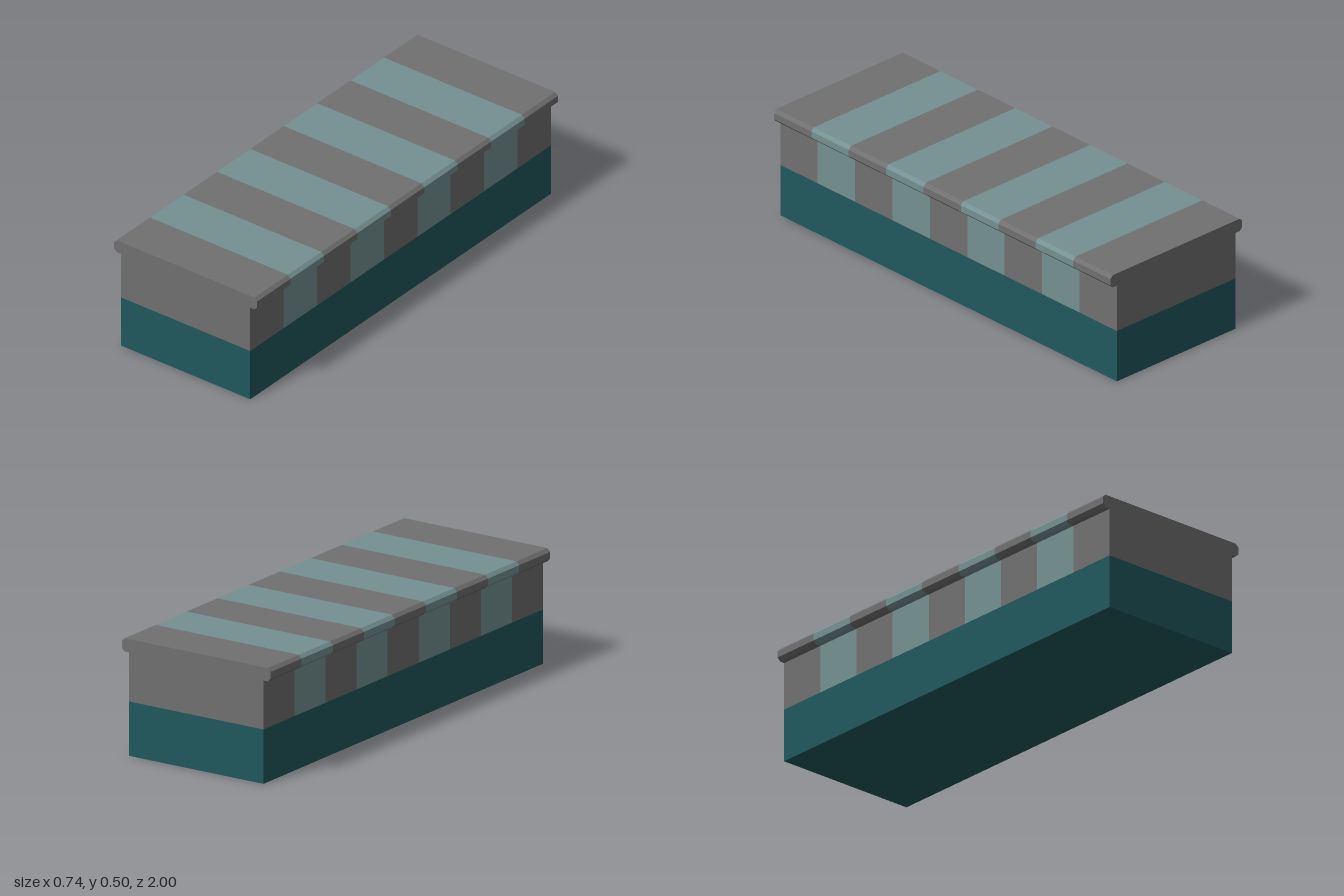
import * as THREE from 'three';

const LENGTH = 2, BANDS = 9, BASE_HEIGHT = 0.233, HALF_WIDTH = 0.335;

// Right half of the cover cross-section, bottom to top, with a chamfered lip
const half = [
  [HALF_WIDTH, BASE_HEIGHT], [HALF_WIDTH, 0.443], [0.357, 0.443],
  [0.371, 0.457], [0.371, 0.486], [0.357, 0.5],
];
const profile = [...half, ...half.slice().reverse().map(([x, y]) => [-x, y])];

// Open band of the cover: the cross-section swept from z0 to z1
function bandGeometry(z0, z1) {
  const positions = [];
  for (let i = 0; i < profile.length - 1; i++) {
    const [p, q] = [profile[i], profile[i + 1]];
    positions.push(...p, z0, ...q, z0, ...q, z1, ...p, z0, ...q, z1, ...p, z1);
  }
  const geometry = new THREE.BufferGeometry();
  geometry.setAttribute('position', new THREE.Float32BufferAttribute(positions, 3));
  geometry.computeVertexNormals();
  return geometry;
}

export function createModel() {
  const group = new THREE.Group();
  const grey = new THREE.MeshStandardMaterial({ color: 0x707070 });
  const paleTeal = new THREE.MeshStandardMaterial({ color: 0x759092 });
  const darkTeal = new THREE.MeshStandardMaterial({ color: 0x20585d });

  const add = (name, geometry, material) => {
    const mesh = new THREE.Mesh(geometry, material);
    mesh.name = name;
    group.add(mesh);
    return mesh;
  };

  // Solid base block
  add('base', new THREE.BoxGeometry(HALF_WIDTH * 2, BASE_HEIGHT, LENGTH), darkTeal)
    .position.y = BASE_HEIGHT / 2;

  // Alternating stripes along the length
  const step = LENGTH / BANDS;
  for (let i = 0; i < BANDS; i++) {
    const z = -LENGTH / 2 + i * step;
    add(i % 2 ? 'paleStripe' : 'greyStripe', bandGeometry(z, z + step), i % 2 ? paleTeal : grey);
  }

  // Flat ends of the cover
  const endShape = new THREE.Shape(profile.map(([x, y]) => new THREE.Vector2(x, y)));
  add('frontEnd', new THREE.ShapeGeometry(endShape), grey).position.z = LENGTH / 2;
  const back = add('backEnd', new THREE.ShapeGeometry(endShape), grey);
  back.rotation.y = Math.PI;
  back.position.z = -LENGTH / 2;

  return group;
}
